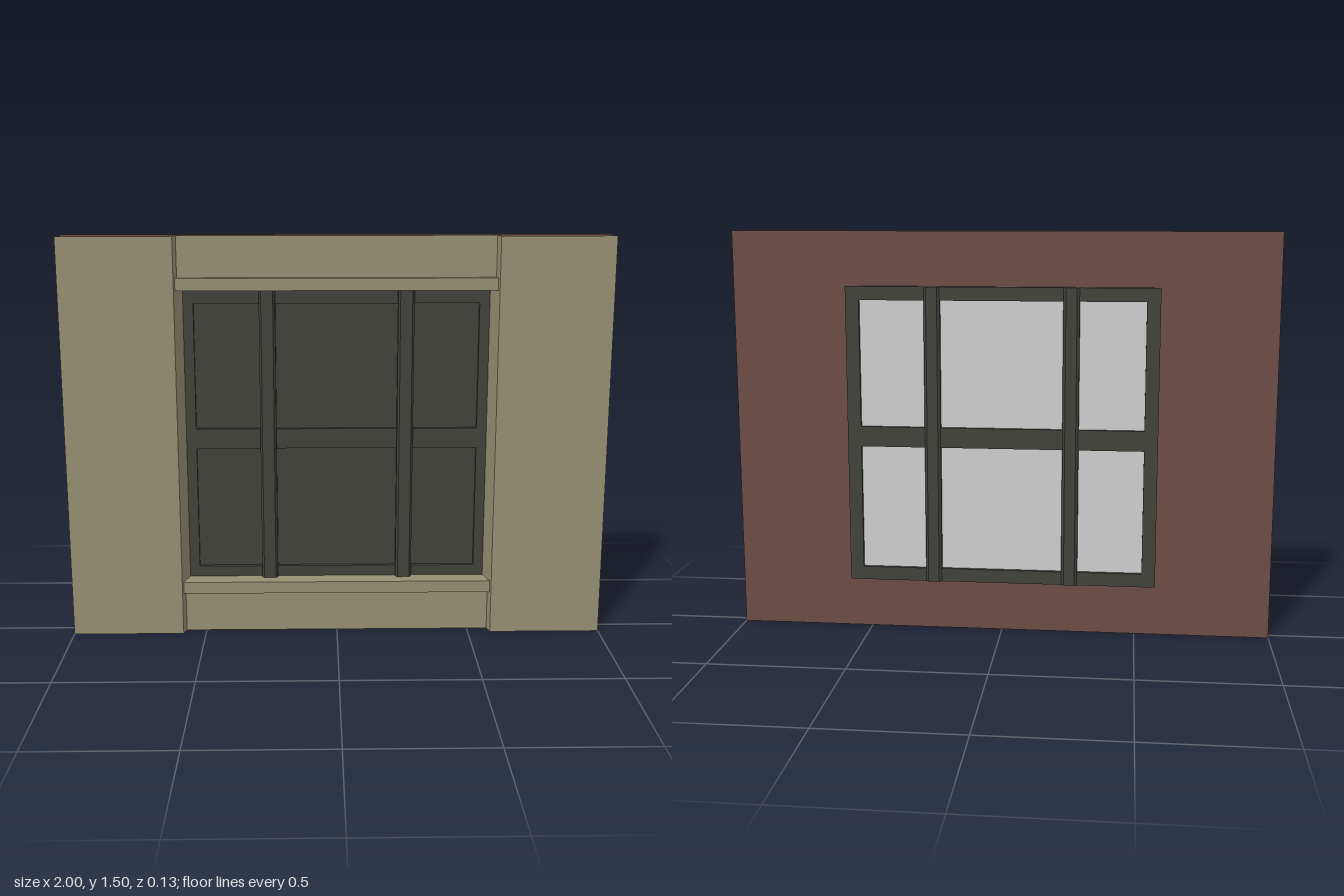
import * as THREE from 'three';

const material = (name, color, side = THREE.FrontSide) => {
  const m = new THREE.MeshStandardMaterial({ color, side });
  m.name = name;
  return m;
};

// Folded sheet: a polyline of [a, b] points swept between two stops
function foldedSheet(points, from, to, place) {
  const pos = [];
  for (let i = 0; i < points.length - 1; i++) {
    const [p, q] = [points[i], points[i + 1]];
    const a = place(p, from), b = place(p, to), c = place(q, to), d = place(q, from);
    pos.push(...a, ...d, ...c, ...a, ...c, ...b);
  }
  const g = new THREE.BufferGeometry();
  g.setAttribute('position', new THREE.Float32BufferAttribute(pos, 3));
  g.computeVertexNormals();
  return g;
}

function rectPath(PathClass, x0, x1, y0, y1) {
  const p = new PathClass();
  p.moveTo(x0, y0);
  p.lineTo(x1, y0);
  p.lineTo(x1, y1);
  p.lineTo(x0, y1);
  p.closePath();
  return p;
}

export function createModel() {
  const model = new THREE.Group();
  model.name = 'windowWall';

  const plaster = material('beige plaster', 0x958f72, THREE.DoubleSide);
  const brick = material('brown wall', 0x6c4d45, THREE.DoubleSide);
  const dark = material('dark frame', 0x41423b);
  const glass = material('pale glass', 0xcfcfcf);

  const add = (name, geometry, mat, parent = model) => {
    const mesh = new THREE.Mesh(geometry, mat);
    mesh.name = name;
    parent.add(mesh);
    return mesh;
  };

  // Inner side panels, each with a splayed reveal running back to the outer wall
  for (const s of [1, -1]) {
    const outline = [[s, 0.065], [s * 0.585, 0.065], [s * 0.56, -0.03]];
    if (s < 0) outline.reverse();
    add(s > 0 ? 'leftPanel' : 'rightPanel',
      foldedSheet(outline, 0, 1.5, ([x, z], y) => [x, y, z]).scale(1, 1, 1), plaster);
  }

  // Panels above and below the window, with moulding and a ledge back to the wall
  const acrossX = ([y, z], x) => [x, y, z];
  add('headerPanel', foldedSheet(
    [[1.5, 0.03], [1.35, 0.03], [1.35, 0.05], [1.305, 0.05], [1.305, -0.03]],
    -0.6, 0.6, acrossX), plaster);
  add('sillPanel', foldedSheet(
    [[0.2, -0.03], [0.2, 0.05], [0.155, 0.05], [0.155, 0.03], [0, 0.03]],
    -0.6, 0.6, acrossX), plaster);

  // Outer wall sheet with the window opening, facing back
  const wall = rectPath(THREE.Shape, -1, 1, 0, 1.5);
  wall.holes.push(rectPath(THREE.Path, -0.56, 0.56, 0.2, 1.295));
  add('outerWall', new THREE.ShapeGeometry(wall).rotateY(Math.PI).translate(0, 0, -0.03), brick);

  const win = new THREE.Group();
  win.name = 'window';
  model.add(win);

  // Frame with six openings
  const columns = [[-0.525, -0.265], [-0.245, 0.245], [0.265, 0.525]];
  const rows = [[0.24, 0.705], [0.78, 1.25]];
  const frame = rectPath(THREE.Shape, -0.575, 0.575, 0.19, 1.3);
  for (const [x0, x1] of columns)
    for (const [y0, y1] of rows) frame.holes.push(rectPath(THREE.Path, x0, x1, y0, y1));
  add('frame', new THREE.ExtrudeGeometry(frame, { depth: 0.033, bevelEnabled: false })
    .translate(0, 0, -0.055), dark, win);

  // Vertical bars with chamfered corners
  const section = new THREE.Shape([
    [-0.03, -0.054], [-0.02, -0.063], [0.02, -0.063], [0.03, -0.054],
    [0.03, -0.01], [0.022, 0], [-0.022, 0], [-0.03, -0.01],
  ].map(([x, z]) => new THREE.Vector2(x, -z)));
  for (const s of [1, -1]) {
    const bar = new THREE.ExtrudeGeometry(section, { depth: 1.11, bevelEnabled: false })
      .rotateX(-Math.PI / 2).translate(s * 0.255, 0.19, 0);
    add(s > 0 ? 'leftBar' : 'rightBar', bar, dark, win);
  }

  // Panes: pale on the outside, dark on the room side
  for (const [x0, x1] of columns) {
    for (const [y0, y1] of rows) {
      const plane = () => new THREE.PlaneGeometry(x1 - x0, y1 - y0);
      const [cx, cy] = [(x0 + x1) / 2, (y0 + y1) / 2];
      add('paneOutside', plane().rotateY(Math.PI).translate(cx, cy, -0.041), glass, win);
      add('paneInside', plane().translate(cx, cy, -0.037), dark, win);
    }
  }
  return model;
}
